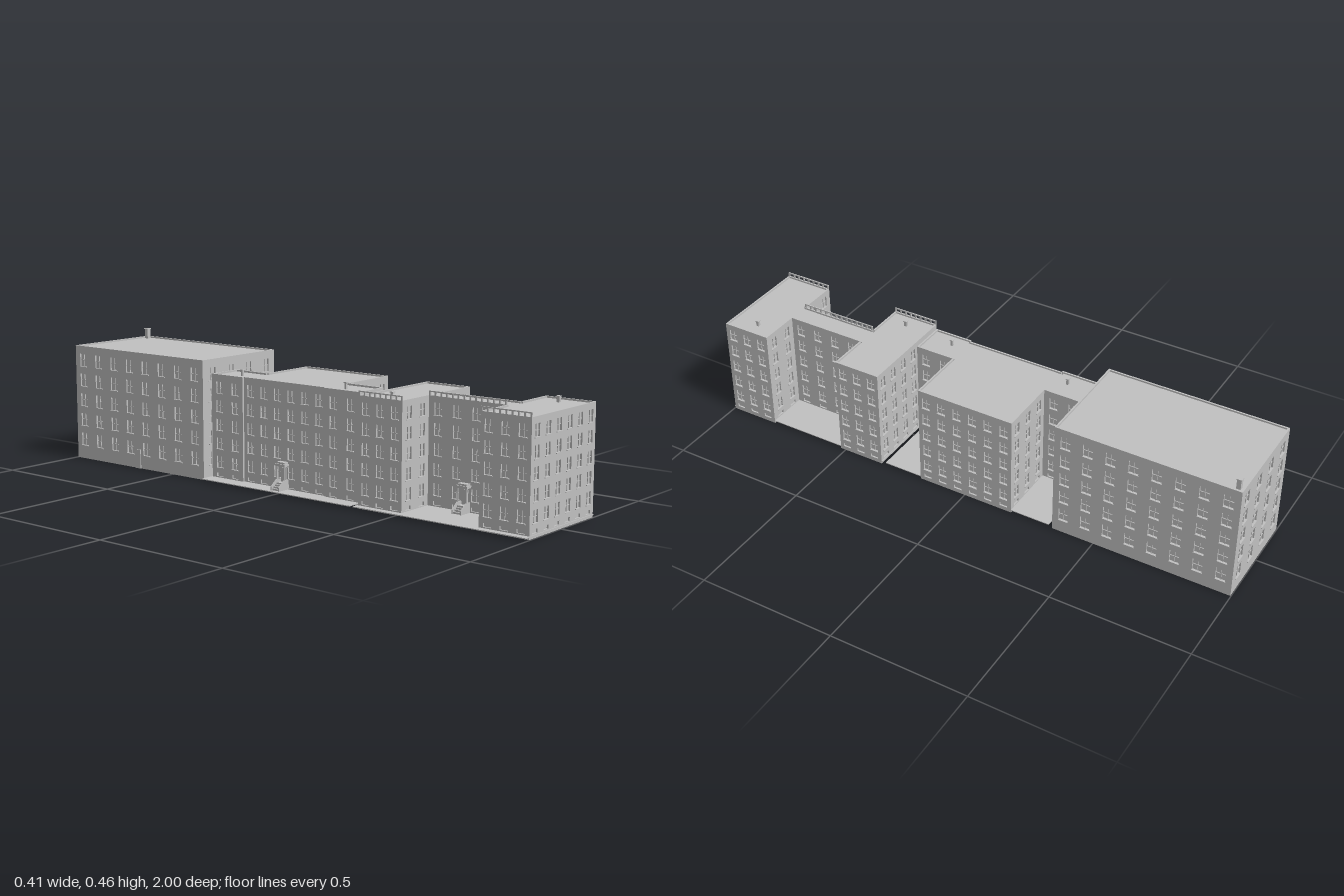
import * as THREE from 'three';
import { mergeGeometries } from 'three/addons/utils/BufferGeometryUtils.js';

const stone = new THREE.MeshStandardMaterial({ color: 0xc0c0c0 });
stone.name = 'grey stone';

const DEPTH = 0.006; // wall thickness, so also the window recess

function add(parent, name, geometry) {
  const mesh = new THREE.Mesh(geometry, stone);
  mesh.name = name;
  parent.add(mesh);
  return mesh;
}

// box from its lower and upper corners
function box(x0, y0, z0, x1, y1, z1) {
  return new THREE.BoxGeometry(x1 - x0, y1 - y0, z1 - z0)
    .translate((x0 + x1) / 2, (y0 + y1) / 2, (z0 + z1) / 2);
}

function rectangle(Kind, x0, y0, x1, y1) {
  return new Kind([[x0, y0], [x1, y0], [x1, y1], [x0, y1]].map(p => new THREE.Vector2(...p)));
}

// one facade in its own plane: wall with window openings, sills and sash bars
function facade(length, height, columns, style) {
  const group = new THREE.Group();
  group.name = 'facade';
  const shape = rectangle(THREE.Shape, 0, 0, length, height);
  const sills = [], bars = [];
  for (let c = 0; c < columns; c++) {
    const x = (c + 0.5) * length / columns;
    const w = style.width / 2;
    for (let r = 0; r < 5; r++) {
      const y = style.sill + r * style.pitch;
      const top = y + style.height;
      shape.holes.push(rectangle(THREE.Path, x - w, y, x + w, top));
      sills.push(box(x - w - 0.001, y - 0.003, -0.001, x + w + 0.001, y, 0.003));
      const mid = (y + top) / 2;
      bars.push(box(x - w, mid - 0.001, -DEPTH, x + w, mid + 0.001, -0.003));
      bars.push(box(x - 0.001, y, -DEPTH, x + 0.001, top, -0.003));
    }
    if (style.basement) shape.holes.push(rectangle(THREE.Path, x - w, 0.015, x + w, 0.028));
  }
  add(group, 'wall', new THREE.ExtrudeGeometry(shape, { depth: DEPTH, bevelEnabled: false })
    .translate(0, 0, -DEPTH));
  if (columns) {
    add(group, 'windowSills', mergeGeometries(sills));
    add(group, 'windowBars', mergeGeometries(bars));
  }
  return group;
}

// right-angled footprint; each corner is [x, z, window columns on the wall that starts there]
function building(name, corners, height, style) {
  const group = new THREE.Group();
  group.name = name;
  const n = corners.length;
  const walls = corners.map(([x, z, columns], i) => {
    const [nx, nz] = corners[(i + 1) % n];
    const length = Math.hypot(nx - x, nz - z);
    return { x, z, columns, length, dx: (nx - x) / length, dz: (nz - z) / length };
  });
  for (const w of walls) {
    const side = facade(w.length, height, w.columns, style);
    side.position.set(w.x, 0, w.z);
    side.rotation.y = Math.atan2(-w.dz, w.dx);
    group.add(side);
  }
  // inner block: window panes and the roof, set just below the parapet
  const inset = walls.map((w, i) => {
    const p = walls[(i + n - 1) % n];
    return new THREE.Vector2(w.x + DEPTH * (w.dz + p.dz), -(w.z - DEPTH * (w.dx + p.dx)));
  });
  add(group, 'roofAndPanes', new THREE.ExtrudeGeometry(new THREE.Shape(inset),
    { depth: height - 0.006, bevelEnabled: false }).rotateX(-Math.PI / 2));
  return group;
}

function chimney(parent, x, z, size, base, top) {
  const s = size / 2;
  add(parent, 'chimney', mergeGeometries([
    box(x - s, base - 0.01, z - s, x + s, top - 0.003, z + s),
    box(x - s - 0.002, top - 0.003, z - s - 0.002, x + s + 0.002, top, z + s + 0.002),
  ]));
}

// roof railing along z
function balustrade(parent, x, z0, z1, base, top) {
  const parts = [box(x, top - 0.004, z0, x + 0.004, top, z1)];
  const count = Math.round((z1 - z0) / 0.022);
  for (let i = 0; i <= count; i++) {
    const z = z0 + 0.003 + (z1 - z0 - 0.006) * i / count;
    parts.push(box(x, base - 0.002, z - 0.003, x + 0.004, top - 0.004, z + 0.003));
  }
  add(parent, 'balustrade', mergeGeometries(parts));
}

// steps up to a columned porch on a wall facing -x
function entrance(parent, x, z) {
  const porch = new THREE.Group();
  porch.name = 'entrance';
  porch.position.set(x, 0, z);
  parent.add(porch);
  const steps = [];
  for (let i = 0; i < 4; i++) {
    steps.push(box(-0.045 + i * 0.007, 0.01, -0.015, 0, 0.017 + i * 0.006, 0.015));
  }
  add(porch, 'steps', mergeGeometries(steps));
  add(porch, 'door', box(-0.003, 0.035, -0.011, 0.001, 0.085, 0.011));
  add(porch, 'canopy', mergeGeometries([
    box(-0.024, 0.092, -0.022, 0, 0.1, 0.022),
    box(-0.02, 0.1, -0.018, 0, 0.106, 0.018),
  ]));
  // stepped side walls with a sloping top
  const cheek = new THREE.Shape([[-0.05, 0.01], [0, 0.01], [0, 0.045], [-0.022, 0.045], [-0.05, 0.024]]
    .map(p => new THREE.Vector2(...p)));
  for (const s of [-1, 1]) {
    add(porch, 'stairWall', new THREE.ExtrudeGeometry(cheek, { depth: 0.004, bevelEnabled: false })
      .translate(0, 0, s * 0.017 - 0.002));
    add(porch, 'porchColumn', new THREE.CylinderGeometry(0.0025, 0.003, 0.05, 10)
      .translate(-0.018, 0.068, s * 0.017));
  }
}

export function createModel() {
  const model = new THREE.Group();
  model.name = 'apartmentBlocks';
  const low = { width: 0.03, height: 0.041, sill: 0.047, pitch: 0.0662, basement: true };
  const tall = { width: 0.035, height: 0.047, sill: 0.05, pitch: 0.075, basement: false };

  // front block: two wings joined by a narrow link
  const front = building('frontBlock', [
    [-0.18, 0.997, 6], [0.2, 0.997, 3], [0.2, 0.815, 2], [0.05, 0.815, 4], [0.05, 0.52, 2],
    [0.2, 0.52, 3], [0.2, 0.345, 6], [-0.18, 0.345, 3], [-0.18, 0.52, 2], [-0.035, 0.52, 4],
    [-0.035, 0.815, 2], [-0.18, 0.815, 3],
  ], 0.375, low);
  model.add(front);
  chimney(front, -0.125, 0.44, 0.01, 0.375, 0.39);
  chimney(front, 0.143, 0.895, 0.01, 0.375, 0.39);
  balustrade(front, -0.18, 0.345, 0.52, 0.375, 0.39);
  balustrade(front, -0.035, 0.52, 0.815, 0.375, 0.39);
  balustrade(front, -0.18, 0.815, 0.997, 0.375, 0.39);
  entrance(front, -0.035, 0.667);

  // middle block: T-shaped
  const middle = building('middleBlock', [
    [-0.15, 0.325, 2], [-0.02, 0.325, 2], [-0.02, 0.18, 3], [0.2, 0.18, 6], [0.2, -0.185, 3],
    [-0.02, -0.185, 2], [-0.02, -0.33, 2], [-0.15, -0.33, 2], [-0.15, -0.185, 0],
    [-0.143, -0.185, 6], [-0.143, 0.18, 0], [-0.15, 0.18, 2],
  ], 0.379, low);
  model.add(middle);
  chimney(middle, -0.097, 0.228, 0.008, 0.379, 0.397);
  chimney(middle, -0.097, -0.233, 0.008, 0.379, 0.397);
  entrance(middle, -0.143, -0.003);

  // rear block: plain and taller
  const rear = building('rearBlock', [
    [-0.18, -0.345, 4], [0.2, -0.345, 8], [0.2, -0.998, 4], [-0.18, -0.998, 8],
  ], 0.427, tall);
  model.add(rear);
  chimney(rear, 0.177, -0.977, 0.015, 0.427, 0.46);
  add(rear, 'sideDoor', box(-0.184, 0, -0.685, -0.175, 0.07, -0.66));

  // paving under the two lower blocks
  add(model, 'frontPaving', box(-0.205, 0.008, 0.342, 0.2, 0.011, 1));
  add(model, 'middlePaving', box(-0.205, 0.008, -0.332, 0.2, 0.011, 0.327));
  return model;
}
